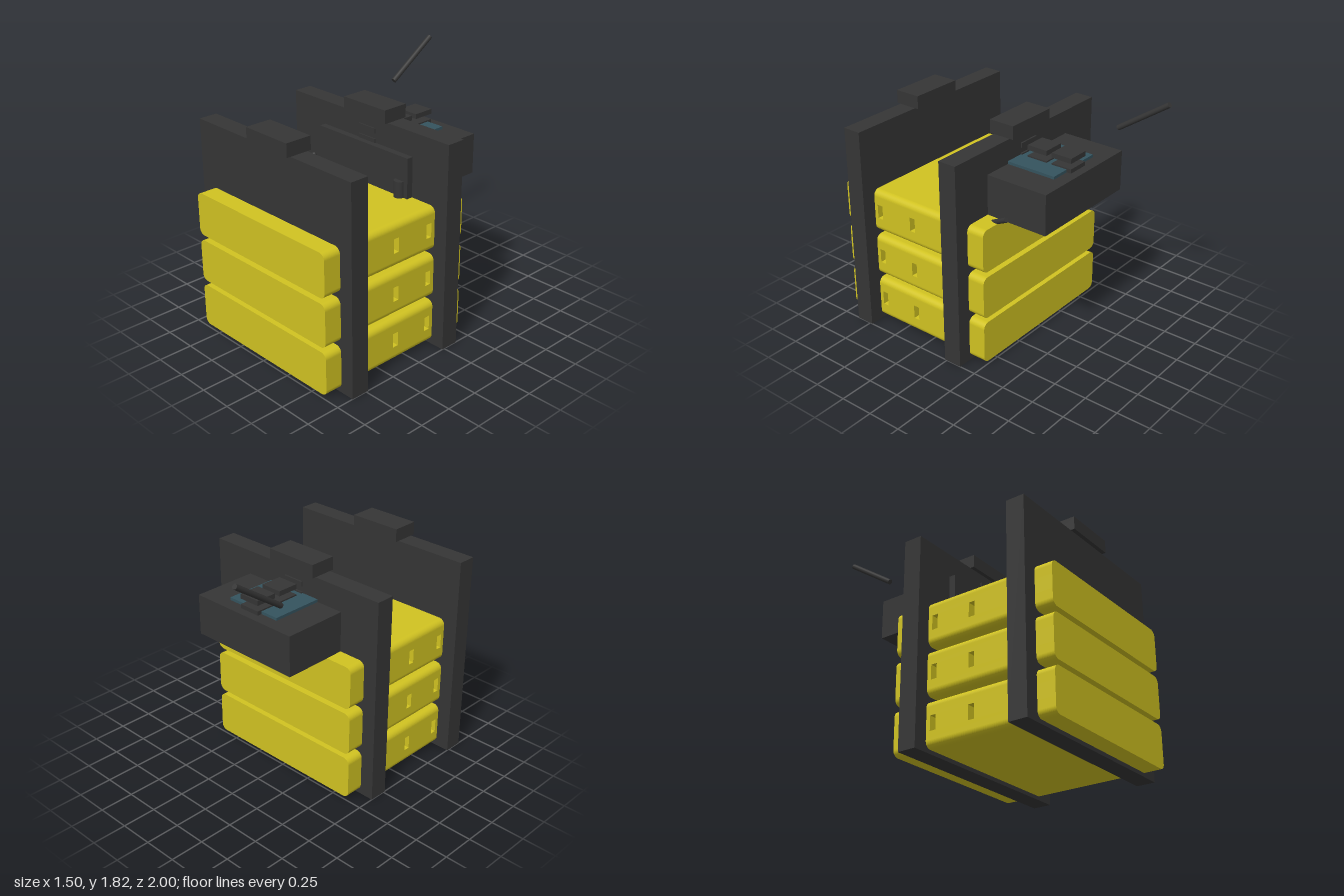
import * as THREE from 'three';

export function createModel() {
  const model = new THREE.Group();
  const mat = (name, color) => new THREE.MeshStandardMaterial({ name, color });
  const yellow = mat('yellow casing', 0xd0c221);
  const dark = mat('dark grey', 0x353535);
  const teal = mat('teal screen', 0x34535e);

  const add = (name, geo, material, parent = model) => {
    const m = new THREE.Mesh(geo, material);
    m.name = name;
    parent.add(m);
    return m;
  };
  // Box given by its limits on each axis
  const block = (name, material, [x0, x1], [y0, y1], [z0, z1], parent) => {
    const m = add(name, new THREE.BoxGeometry(x1 - x0, y1 - y0, z1 - z0), material, parent);
    m.position.set((x0 + x1) / 2, (y0 + y1) / 2, (z0 + z1) / 2);
    return m;
  };
  const rod = (name, material, from, to, radius) => {
    const a = new THREE.Vector3(...from), b = new THREE.Vector3(...to);
    const d = b.clone().sub(a);
    const m = add(name, new THREE.CylinderGeometry(radius, radius, d.length(), 16), material);
    m.position.copy(a).add(b).multiplyScalar(0.5);
    m.quaternion.setFromUnitVectors(new THREE.Vector3(0, 1, 0), d.normalize());
  };

  // Yellow cells: rounded upper and lower shells around a row of through slots
  const W = 0.645, H = 0.317, R = 0.045, Z0 = -0.255, Z1 = 1;
  const slotH = 0.105, slotW = 0.046, slots = [0.07, 0.375, 0.68];
  const shell = new THREE.Shape();
  shell.moveTo(-W, slotH / 2);
  shell.lineTo(W, slotH / 2);
  shell.lineTo(W, H / 2 - R);
  shell.absarc(W - R, H / 2 - R, R, 0, Math.PI / 2);
  shell.absarc(R - W, H / 2 - R, R, Math.PI / 2, Math.PI);
  shell.closePath();
  const shellGeo = new THREE.ExtrudeGeometry(shell, { depth: Z1 - Z0, bevelEnabled: false, curveSegments: 6 });
  shellGeo.translate(0, 0, Z0);
  const lowerGeo = shellGeo.clone().rotateZ(Math.PI);
  for (const y of [0.187, 0.541, 0.898]) {
    const cell = new THREE.Group();
    cell.name = 'cell';
    cell.position.y = y;
    model.add(cell);
    add('cellTop', shellGeo, yellow, cell);
    add('cellBottom', lowerGeo, yellow, cell);
    const edges = [Z0, ...slots.flatMap(z => [z - slotW / 2, z + slotW / 2]), Z1];
    for (let i = 0; i < edges.length; i += 2)
      block('cellCore', yellow, [-W, W], [-slotH / 2, slotH / 2], [edges[i], edges[i + 1]], cell);
  }

  // Upright frame plates with a grip on top
  for (const z of [0.8, -0.053]) {
    block('framePlate', dark, [-0.75, 0.75], [0, 1.525], [z - 0.069, z + 0.069]);
    block('frameGrip', dark, [-0.2, 0.2], [1.525, 1.622], [z - 0.099, z + 0.099]);
  }

  // Control box with screen and two layers of keys
  block('controlBox', dark, [-0.433, 0.433], [1.055, 1.35], [-0.6, 0.064]);
  block('screen', teal, [-0.22, 0.22], [1.35, 1.37], [-0.505, 0.01]);
  for (const z of [-0.46, -0.26, -0.055]) {
    block('lowerKey', dark, [-0.08, 0.08], [1.345, 1.38], [z - 0.079, z + 0.079]);
    block('upperKey', dark, [-0.08, 0.08], [1.42, 1.456], [z - 0.079, z + 0.079]);
  }

  // Small knob in front of the control box
  const knob = add('knob', new THREE.CylinderGeometry(0.04, 0.04, 0.13, 16), dark);
  knob.position.set(0.36, 1.11, 0.064);

  // Aerial and slanted cables
  rod('aerial', dark, [-0.365, 1.545, -0.605], [-0.365, 1.805, -0.985], 0.019);
  rod('leftCableEnd', dark, [0.5, 1.115, -0.335], [0.465, 1.02, -0.16], 0.018);
  rod('leftCable', yellow, [0.465, 1.02, -0.16], [0.33, 0.7, 0.45], 0.018);
  rod('rightCableEnd', dark, [-0.51, 1.11, 0.06], [-0.455, 1.01, 0.15], 0.018);
  rod('rightCable', yellow, [-0.455, 1.01, 0.15], [-0.32, 0.7, 0.4], 0.018);

  return model;
}
